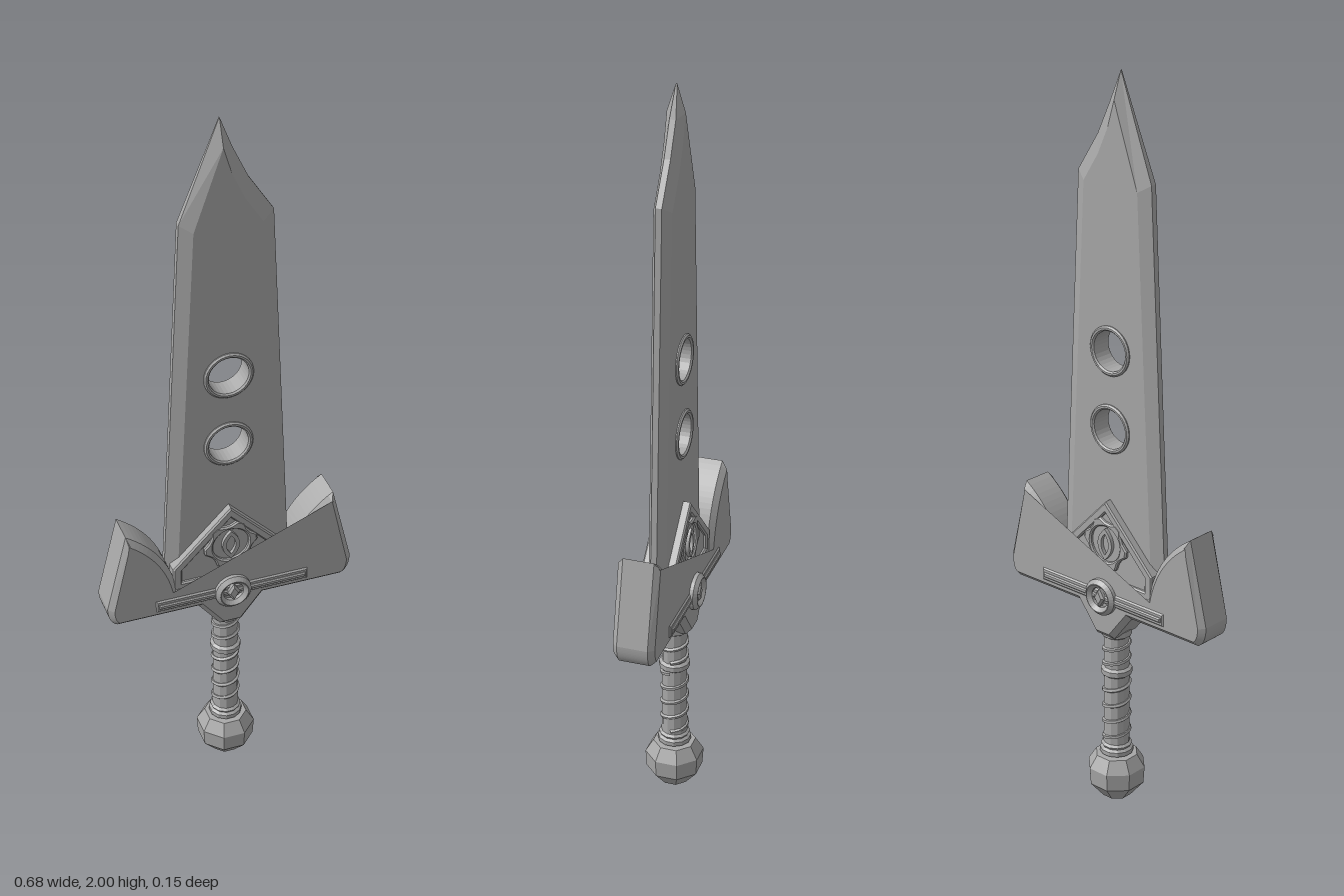
import * as THREE from 'three';

const steel = new THREE.MeshStandardMaterial({ color: 0xa8a8a8, flatShading: true });
steel.name = 'steel grey';

const pts = (list) => list.map(([x, y]) => new THREE.Vector2(x, y));
const poly = (list) => new THREE.Shape(pts(list));
// Right-hand outline points followed by their mirror image, so the shape closes on the left
const mirrored = (right) => [...right, ...right.filter(([x]) => x > 0).reverse().map(([x, y]) => [-x, y])];
const circle = (y, r, hole = false) =>
  (hole ? new THREE.Path() : new THREE.Shape()).absarc(0, y, r, 0, Math.PI * 2, hole);

function add(group, name, geometry) {
  const mesh = new THREE.Mesh(geometry, steel);
  mesh.name = name;
  group.add(mesh);
  return mesh;
}

// Plate centred on z = 0, reaching +-half, with its bevel cut inside the outline
function plate(shape, half, bevel = 0, inset = bevel) {
  const g = new THREE.ExtrudeGeometry(shape, {
    depth: 2 * (half - bevel), curveSegments: 16, bevelEnabled: bevel > 0,
    bevelThickness: bevel, bevelSize: inset, bevelOffset: -inset, bevelSegments: 1,
  });
  return g.translate(0, 0, bevel - half);
}

// Skin between closed loops of points, ordered front to back
function band(loops) {
  const n = loops[0].length, index = [];
  for (let k = 0; k < loops.length - 1; k++) {
    for (let i = 0; i < n; i++) {
      const j = (i + 1) % n, a = k * n, b = a + n;
      index.push(a + i, b + i, b + j, a + i, b + j, a + j);
    }
  }
  const g = new THREE.BufferGeometry();
  g.setAttribute('position', new THREE.Float32BufferAttribute(loops.flat(2), 3));
  g.setIndex(index);
  g.computeVertexNormals();
  return g;
}

function makeBlade() {
  const blade = new THREE.Group();
  blade.name = 'blade';
  const outer = [[0.175, 0.66], [0.12, 1.735], [0.055, 1.835], [0.015, 1.92], [-0.015, 2], [-0.12, 1.735], [-0.175, 0.66]];
  const inner = [[0.142, 0.66], [0.088, 1.715], [0.04, 1.79], [0.008, 1.86], [-0.013, 1.93], [-0.088, 1.715], [-0.142, 0.66]];
  const holes = [1.08, 1.29];

  // Flat faces, pierced by two holes
  const flat = poly(inner);
  holes.forEach((y) => flat.holes.push(circle(y, 0.058, true)));
  add(blade, 'bladeFlat', plate(flat, 0.024));

  // Ground edges sloping to a thin rim
  const at = (list, z) => list.map(([x, y]) => [x, y, z]);
  const rim = (z) => outer.map(([x, y]) => [x, y, y === 2 ? z * 0.2 : z]);
  add(blade, 'bladeEdge', band([at(inner, 0.024), rim(0.008), rim(-0.008), at(inner, -0.024)]));

  // Raised collars lining the holes
  for (const y of holes) {
    const ring = circle(y, 0.066);
    ring.holes.push(circle(y, 0.053, true));
    add(blade, 'holeCollar', plate(ring, 0.031, 0.004));
  }
  return blade;
}

function makeGuard() {
  const guard = new THREE.Group();
  guard.name = 'guard';

  // Crossguard with upswept horns and a point over the grip
  const s = new THREE.Shape();
  s.moveTo(-0.03, 0.5);
  s.lineTo(0.03, 0.5);
  s.lineTo(0.09, 0.578);
  s.lineTo(0.315, 0.578);
  s.quadraticCurveTo(0.34, 0.59, 0.34, 0.635);
  s.lineTo(0.285, 0.862);
  s.quadraticCurveTo(0.175, 0.79, 0.15, 0.66);
  s.lineTo(-0.15, 0.66);
  s.quadraticCurveTo(-0.175, 0.79, -0.285, 0.862);
  s.lineTo(-0.34, 0.635);
  s.quadraticCurveTo(-0.34, 0.59, -0.315, 0.578);
  s.lineTo(-0.09, 0.578);
  s.closePath();
  add(guard, 'crossguard', plate(s, 0.056, 0.015));

  // Pointed panel at the blade root, with a raised frame
  const outline = mirrored([[0.16, 0.64], [0.16, 0.72], [0, 0.885]]);
  add(guard, 'rootPanel', plate(poly(outline), 0.037));
  const frame = poly(outline);
  frame.holes.push(new THREE.Path(pts(mirrored([[0.135, 0.672], [0.135, 0.712], [0, 0.853]]))));
  add(guard, 'rootFrame', plate(frame, 0.046, 0.004));

  // Notched ring ornament around a slit pointed oval
  const cy = 0.765, teeth = [];
  for (let i = 0; i < 24; i++) {
    const a = (i / 24) * Math.PI * 2, r = i % 4 < 2 ? 0.074 : 0.062;
    teeth.push([Math.cos(a) * r, cy + Math.sin(a) * r]);
  }
  const ring = poly(teeth);
  ring.holes.push(circle(cy, 0.05, true));
  add(guard, 'ornamentRing', plate(ring, 0.047, 0.004));
  const oval = (h, w, shape) => {
    shape.moveTo(0, cy - h);
    shape.quadraticCurveTo(w * 2, cy, 0, cy + h);
    shape.quadraticCurveTo(-w * 2, cy, 0, cy - h);
    return shape;
  };
  const eye = oval(0.044, 0.024, new THREE.Shape());
  eye.holes.push(oval(0.03, 0.013, new THREE.Path()));
  add(guard, 'ornamentOval', plate(eye, 0.047));

  // Double rib along the crossguard
  add(guard, 'crossBar', plate(poly(mirrored([[0.212, 0.602], [0.212, 0.637]])), 0.06, 0.004));
  add(guard, 'crossRib', plate(poly(mirrored([[0.205, 0.613], [0.205, 0.626]])), 0.065, 0.003));

  // Central boss with a small diamond stud
  const boss = circle(0.62, 0.05);
  boss.holes.push(circle(0.62, 0.028, true));
  add(guard, 'boss', plate(boss, 0.076, 0.01));
  add(guard, 'bossStud', plate(poly([[0, 0.593], [0.018, 0.62], [0, 0.647], [-0.018, 0.62]]), 0.074, 0.006));
  return guard;
}

function makeHandle() {
  const handle = new THREE.Group();
  handle.name = 'handle';
  const turned = (name, profile, sides) => {
    const g = new THREE.LatheGeometry(pts(profile), sides);
    add(handle, name, g.rotateY(Math.PI / sides));
  };
  turned('pommel', [[0, 0.005], [0.04, 0.008], [0.077, 0.052], [0.08, 0.1], [0.058, 0.135], [0, 0.138]], 8);
  turned('gripCore', [[0.036, 0.13], [0.034, 0.25], [0.034, 0.52]], 12);
  turned('lowerCollar', [[0.034, 0.136], [0.045, 0.14], [0.045, 0.152], [0.038, 0.158], [0.042, 0.165], [0.034, 0.172]], 12);
  turned('middleCollar', [[0.034, 0.372], [0.042, 0.378], [0.042, 0.392], [0.034, 0.398]], 12);
  turned('upperCollar', [[0.034, 0.488], [0.041, 0.493], [0.041, 0.51], [0.034, 0.515]], 12);

  // Spiral cord wound around the grip below and above the middle collar
  for (const [from, to, turns] of [[0.18, 0.368, 4], [0.402, 0.485, 2]]) {
    const path = [];
    for (let i = 0; i <= turns * 12; i++) {
      const t = i / (turns * 12), a = -t * turns * Math.PI * 2;
      path.push(new THREE.Vector3(Math.cos(a) * 0.034, from + (to - from) * t, Math.sin(a) * 0.034));
    }
    add(handle, 'gripCord', new THREE.TubeGeometry(new THREE.CatmullRomCurve3(path), turns * 20, 0.006, 5));
  }
  return handle;
}

export function createModel() {
  const sword = new THREE.Group();
  sword.name = 'sword';
  sword.add(makeBlade(), makeGuard(), makeHandle());
  return sword;
}
